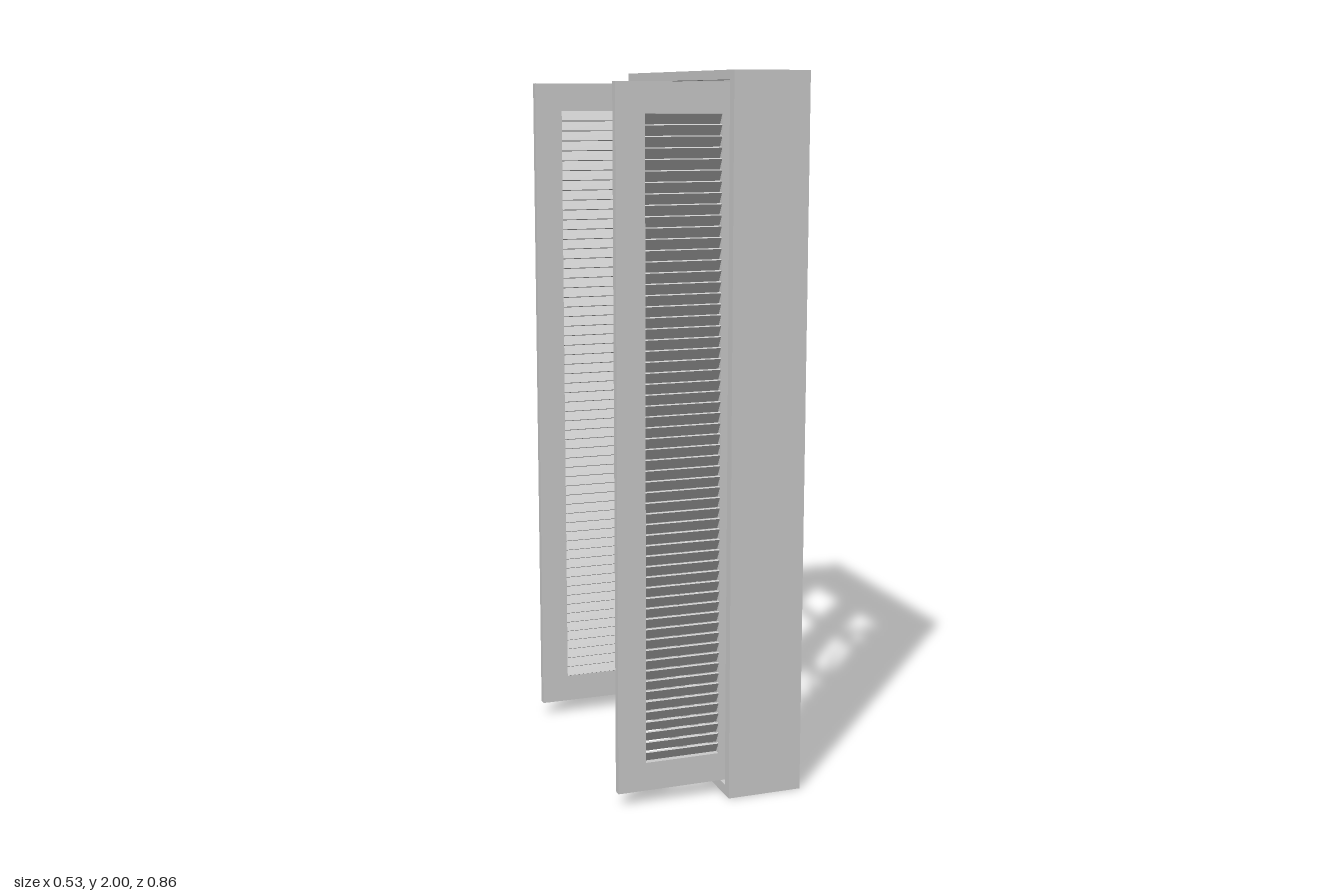
import * as THREE from 'three';

const material = new THREE.MeshStandardMaterial({ color: 0xcccccc });

function add(parent, name, geometry, x = 0, y = 0, z = 0) {
  const mesh = new THREE.Mesh(geometry, material);
  mesh.name = name;
  mesh.position.set(x, y, z);
  parent.add(mesh);
  return mesh;
}

// Rectangle outline from two opposite corners
function rect(Type, z0, z1, y0, y1) {
  const p = new Type();
  p.moveTo(z0, y0);
  p.lineTo(z1, y0);
  p.lineTo(z1, y1);
  p.lineTo(z0, y1);
  p.closePath();
  return p;
}

// Flat panel with rectangular holes, facing +x and spanning x0..x1.
// Rectangles are [z0, z1, y0, y1]; bevel chamfers the hole edges inward.
function panel(outer, holes, x0, x1, bevel = 0) {
  const flip = ([z0, z1, y0, y1]) => [-z1, -z0, y0, y1];
  const shape = rect(THREE.Shape, ...flip(outer));
  shape.holes = holes.map(h => rect(THREE.Path, ...flip(h)));
  const g = new THREE.ExtrudeGeometry(shape, {
    depth: x1 - x0 - 2 * bevel,
    bevelEnabled: bevel > 0, bevelSegments: 1,
    bevelSize: bevel, bevelThickness: bevel,
  });
  g.rotateY(Math.PI / 2);
  g.translate(x0 + bevel, 0, 0);
  return g;
}

function makeSash(side) {
  const sash = new THREE.Group();
  sash.name = side > 0 ? 'leftSash' : 'rightSash';
  const c = 0.2 * side;
  const around = (hw, y0, y1) => [c - hw, c + hw, y0, y1];

  // The +z sash laps over the other one at the meeting stile
  const outer = side > 0 ? [-0.02, 0.4, 0.032, 1.973] : [-0.4, -0.02, 0.032, 1.973];
  const x1 = side > 0 ? 0.187 : 0.182;
  const opening = around(0.148, 0.085, 1.925);
  add(sash, 'sashFrame', panel(outer, [opening], 0.137, x1));

  // Chamfered moulding lining the frame
  add(sash, 'sashMoulding',
    panel(around(0.155, 0.078, 1.932), [opening], 0.139, x1 - 0.002, 0.014));

  // Glazing bars with four chamfered openings
  const panes = [0, 1, 2, 3].map(i => {
    const y = 0.328 + 0.452 * i;
    return around(0.124, y - 0.212, y + 0.212);
  });
  add(sash, 'glazingBars', panel(around(0.14, 0.093, 1.917), panes, 0.143, 0.178, 0.012));

  // Hinges on the outer stile
  for (const y of [0.39, 1.6]) {
    add(sash, 'hingeBarrel', new THREE.CapsuleGeometry(0.01, 0.06, 4, 12), 0.192, y, side * 0.393);
    add(sash, 'hingeLeaf', new THREE.BoxGeometry(0.006, 0.06, 0.016), 0.187, y, side * 0.39);
  }
  return sash;
}

function makeShutter(side) {
  const shutter = new THREE.Group();
  shutter.name = side > 0 ? 'leftShutter' : 'rightShutter';
  const x0 = -0.264, x1 = 0.112, y0 = 0.04, y1 = 1.97, t = 0.023, w = 0.081;
  const midX = (x0 + x1) / 2, midY = (y0 + y1) / 2;

  // Stiles and rails
  for (const x of [x0 + w / 2, x1 - w / 2])
    add(shutter, 'shutterStile', new THREE.BoxGeometry(w, y1 - y0, t), x, midY);
  for (const y of [y0 + w / 2, y1 - w / 2])
    add(shutter, 'shutterRail', new THREE.BoxGeometry(x1 - x0 - 2 * w, w, t), midX, y);

  // Tilted slats
  const count = 60, bottom = y0 + w, pitch = (y1 - y0 - 2 * w) / count;
  const slat = new THREE.BoxGeometry(x1 - x0 - 2 * w + 0.01, 0.005, 0.035);
  slat.rotateX(-side * 1.02);
  for (let i = 0; i < count; i++)
    add(shutter, 'slat', slat, midX, bottom + (i + 0.5) * pitch, 0);

  shutter.position.z = side > 0 ? 0.379 : -0.386;
  return shutter;
}

export function createModel() {
  const group = new THREE.Group();
  group.name = 'shutteredWindow';

  // Deep casing and the stop the sashes close against
  add(group, 'casing', panel([-0.432, 0.432, 0, 2], [[-0.402, 0.402, 0.03, 1.975]], 0.047, 0.263));
  add(group, 'sashStop', panel([-0.404, 0.404, 0.028, 1.977], [[-0.375, 0.375, 0.06, 1.945]], 0.115, 0.139));

  for (const side of [1, -1]) {
    group.add(makeSash(side));
    group.add(makeShutter(side));
  }

  // Turned knob on the meeting stile
  const profile = [[0, 0], [0.014, 0], [0.014, 0.004], [0.007, 0.008], [0.007, 0.018],
    [0.015, 0.023], [0.02, 0.031], [0.018, 0.04], [0.01, 0.046], [0, 0.048]];
  const knob = new THREE.LatheGeometry(profile.map(p => new THREE.Vector2(...p)), 20);
  knob.rotateZ(-Math.PI / 2);
  add(group, 'knob', knob, 0.186, 0.73, 0);

  return group;
}
